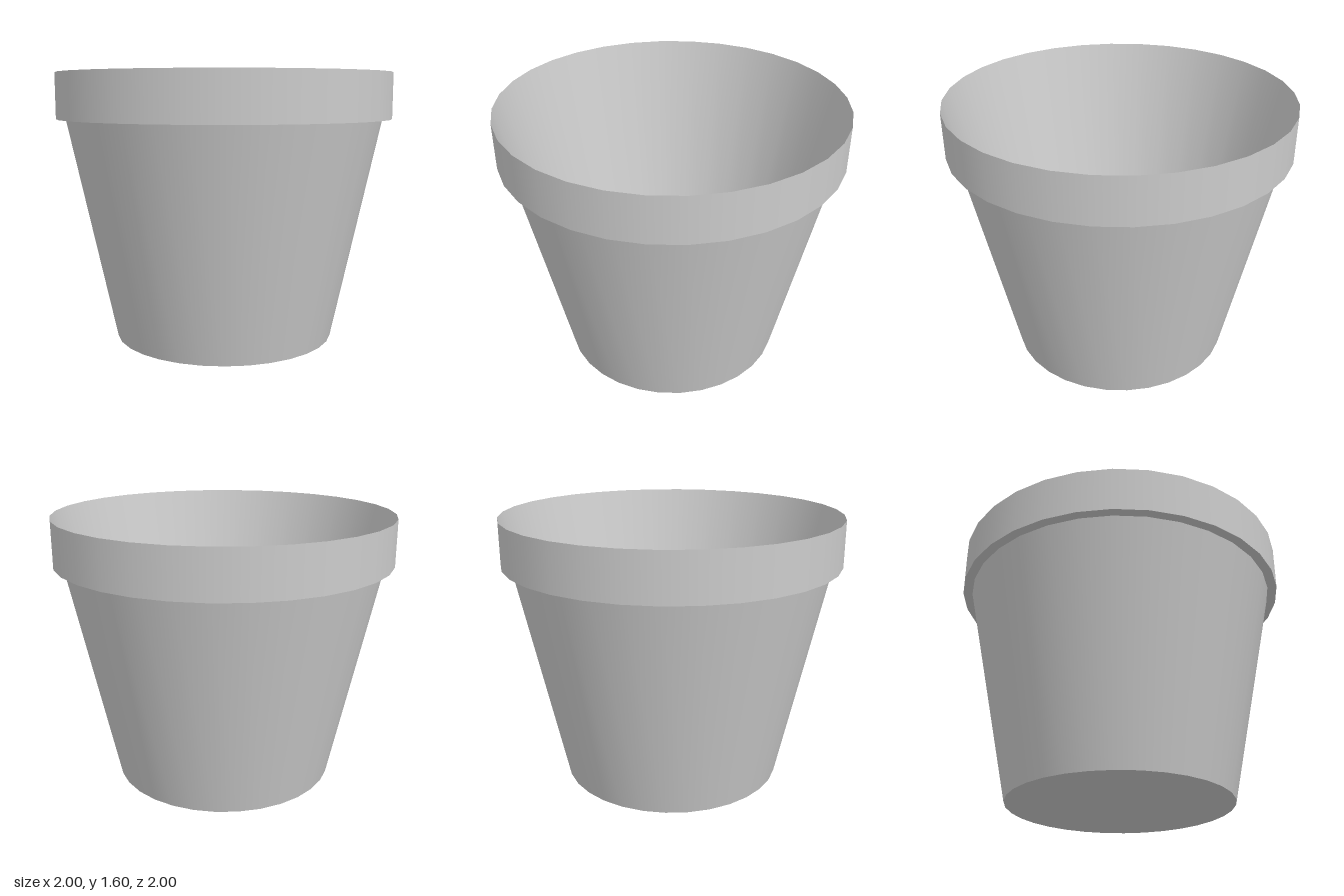
import * as THREE from 'three';

const SIDES = 32;

export function createModel() {
  const pot = new THREE.Group();
  pot.name = 'flowerPot';
  const material = new THREE.MeshStandardMaterial({ color: 0xcccccc });

  // Each surface is its own lathe, so rings are smooth around and sharp where they meet.
  const addRing = (name, from, to) => {
    const points = [new THREE.Vector2(...from), new THREE.Vector2(...to)];
    const mesh = new THREE.Mesh(new THREE.LatheGeometry(points, SIDES), material);
    mesh.name = name;
    pot.add(mesh);
  };

  // Profile as [radius, height], running up the outside and back down the inside
  const centreBottom = [0, 0];
  const foot = [0.664, 0];
  const underRim = [0.944, 1.33];
  const rimBottom = [1, 1.33];
  const rimTop = [1, 1.6];
  const floorEdge = [0.696, 0.3];
  const floorCentre = [0, 0.3];

  addRing('base', centreBottom, foot);
  addRing('outerWall', foot, underRim);
  addRing('rimUnderside', underRim, rimBottom);
  addRing('rimBand', rimBottom, rimTop);
  addRing('innerWall', rimTop, floorEdge);
  addRing('innerFloor', floorEdge, floorCentre);

  return pot;
}
